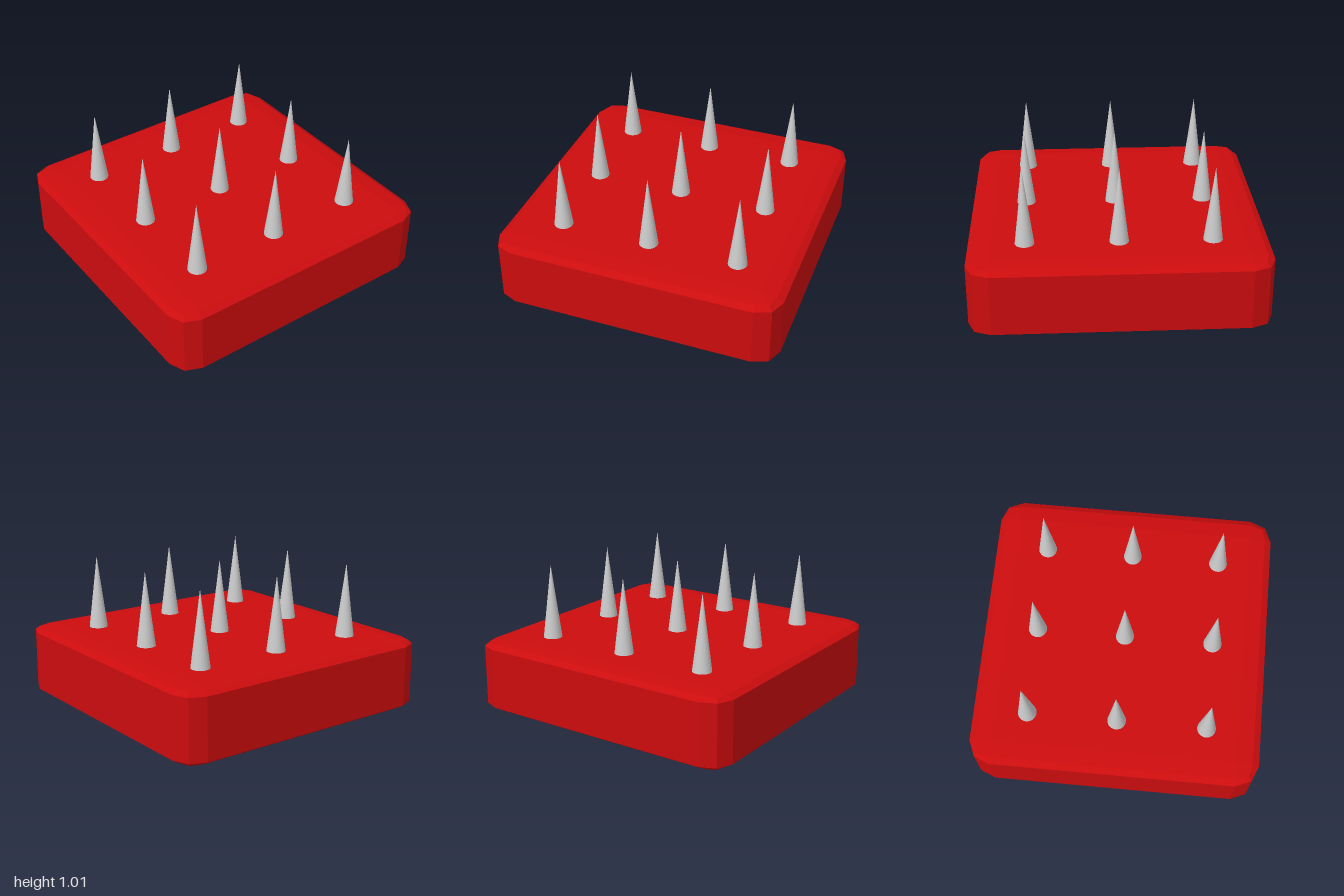
import * as THREE from 'three';
import { RoundedBoxGeometry } from 'three/addons/geometries/RoundedBoxGeometry.js';

export function createModel() {
  const model = new THREE.Group();
  model.name = 'spikeTrap';

  const red = new THREE.MeshStandardMaterial({ color: 0xcc0c0e, flatShading: true });
  const grey = new THREE.MeshStandardMaterial({ color: 0xcccccc, flatShading: true });

  // Base: a two-step bevelled cube squashed into a slab, bevels included
  const height = 0.5;
  const baseGeometry = new RoundedBoxGeometry(2, 2, 2, 1, 0.155);
  baseGeometry.scale(1, height / 2, 1);
  const base = new THREE.Mesh(baseGeometry, red);
  base.name = 'base';
  base.position.y = height / 2;
  model.add(base);

  // Spikes: a 3 x 3 grid of slender cones, seated just below the top face
  const tip = 1.015, foot = height - 0.01, spacing = 0.622;
  const spikeGeometry = new THREE.ConeGeometry(0.066, tip - foot, 32);
  spikeGeometry.translate(0, (tip + foot) / 2, 0);
  const spikes = new THREE.Group();
  spikes.name = 'spikes';
  for (const row of [-1, 0, 1]) {
    for (const column of [-1, 0, 1]) {
      const spike = new THREE.Mesh(spikeGeometry, grey);
      spike.name = 'spike';
      spike.position.set(column * spacing, 0, row * spacing);
      spikes.add(spike);
    }
  }
  model.add(spikes);

  return model;
}
